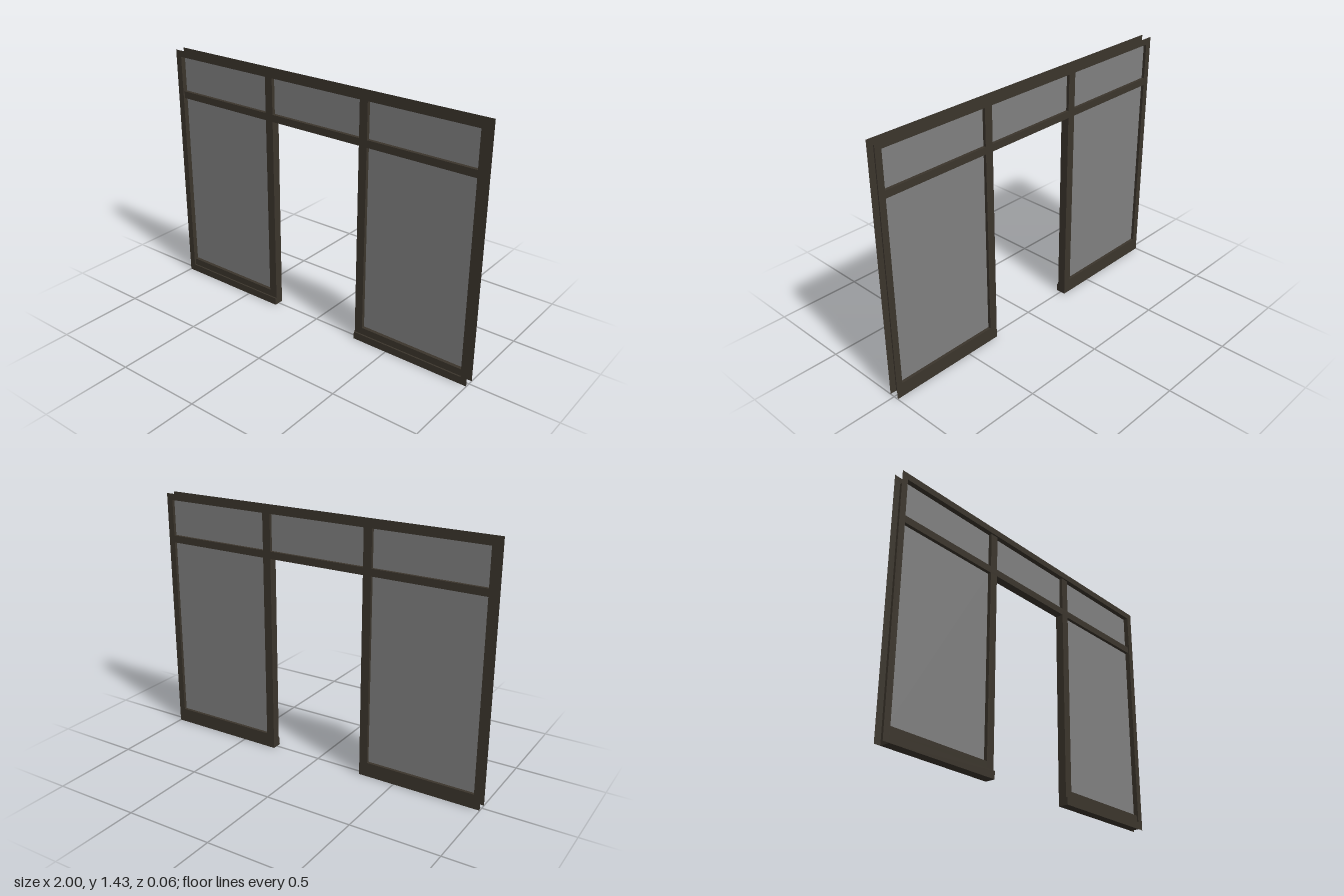
import * as THREE from 'three';

const frameMat = new THREE.MeshStandardMaterial({ color: 0x3b352c, side: THREE.DoubleSide });
const glassMat = new THREE.MeshStandardMaterial({ color: 0x808080 });

const HALF = 1, TOP = 1.43;            // outer size of the frame
const IN_X = 0.963, IN_Y = 1.393;      // inner edge of jambs and head
const FRONT = 0.029, BACK = -0.029;    // frame faces
const BAR_FRONT = 0.02;                // mullions and rails sit slightly back
const M0 = 0.287, M1 = 0.335;          // mullion edges
const T0 = 1.146, T1 = 1.187;          // transom edges
const SILL = 0.043, RAIL = 0.083;

export function createModel() {
  const root = new THREE.Group();
  root.name = 'shopfrontFrame';

  const add = (name, geometry, material = frameMat) => {
    const mesh = new THREE.Mesh(geometry, material);
    mesh.name = name;
    root.add(mesh);
    return mesh;
  };
  const bar = (name, x0, x1, y0, y1, z0, z1, material) =>
    add(name, new THREE.BoxGeometry(x1 - x0, y1 - y0, z1 - z0), material)
      .position.set((x0 + x1) / 2, (y0 + y1) / 2, (z0 + z1) / 2);

  // Jambs and head: thin front and back plates, open at the outside edge
  const outline = new THREE.Shape([
    [-HALF, 0], [-IN_X, 0], [-IN_X, IN_Y], [IN_X, IN_Y],
    [IN_X, 0], [HALF, 0], [HALF, TOP], [-HALF, TOP],
  ].map(([x, y]) => new THREE.Vector2(x, y)));
  add('frontFramePlate', new THREE.ShapeGeometry(outline)).position.z = FRONT;
  const back = add('backFramePlate', new THREE.ShapeGeometry(outline));
  back.position.z = BACK;
  back.rotation.y = Math.PI;

  // Linings joining the two plates around the opening
  const depth = FRONT - BACK;
  const head = add('headLining', new THREE.PlaneGeometry(2 * IN_X, depth));
  head.rotation.x = Math.PI / 2;
  head.position.y = IN_Y;

  for (const s of [-1, 1]) {
    const side = s > 0 ? 'left' : 'right';
    const mirrored = (name, a, b, ...rest) =>
      bar(side + name, Math.min(s * a, s * b), Math.max(s * a, s * b), ...rest);

    const lining = add(side + 'JambLining', new THREE.PlaneGeometry(depth, IN_Y));
    lining.rotation.y = -s * Math.PI / 2;
    lining.position.set(s * IN_X, IN_Y / 2, 0);

    // Mullion beside the doorway, in two lengths around the transom
    mirrored('DoorMullion', M0, M1, SILL, T0, BACK, BAR_FRONT);
    mirrored('UpperMullion', M0, M1, T1, IN_Y, BACK, BAR_FRONT);

    // Projecting sill and the bottom rail above it
    mirrored('Sill', M0, IN_X, 0, SILL, BACK, FRONT);
    mirrored('BottomRail', M1, IN_X, SILL, RAIL, BACK, BAR_FRONT);

    // Side panes
    mirrored('SidePane', M1, IN_X, RAIL, T0, -0.012, 0, glassMat);
    mirrored('UpperPane', M1, IN_X, T1, IN_Y, -0.012, 0, glassMat);
  }

  // Transom and the pane over the doorway
  bar('transom', -IN_X, IN_X, T0, T1, BACK, BAR_FRONT);
  bar('centrePane', -M0, M0, T1, IN_Y, -0.012, 0, glassMat);

  // Glazing strip standing just above the head lining
  bar('glazingStrip', -IN_X, IN_X, IN_Y, IN_Y + 0.007, -0.014, 0);

  return root;
}
